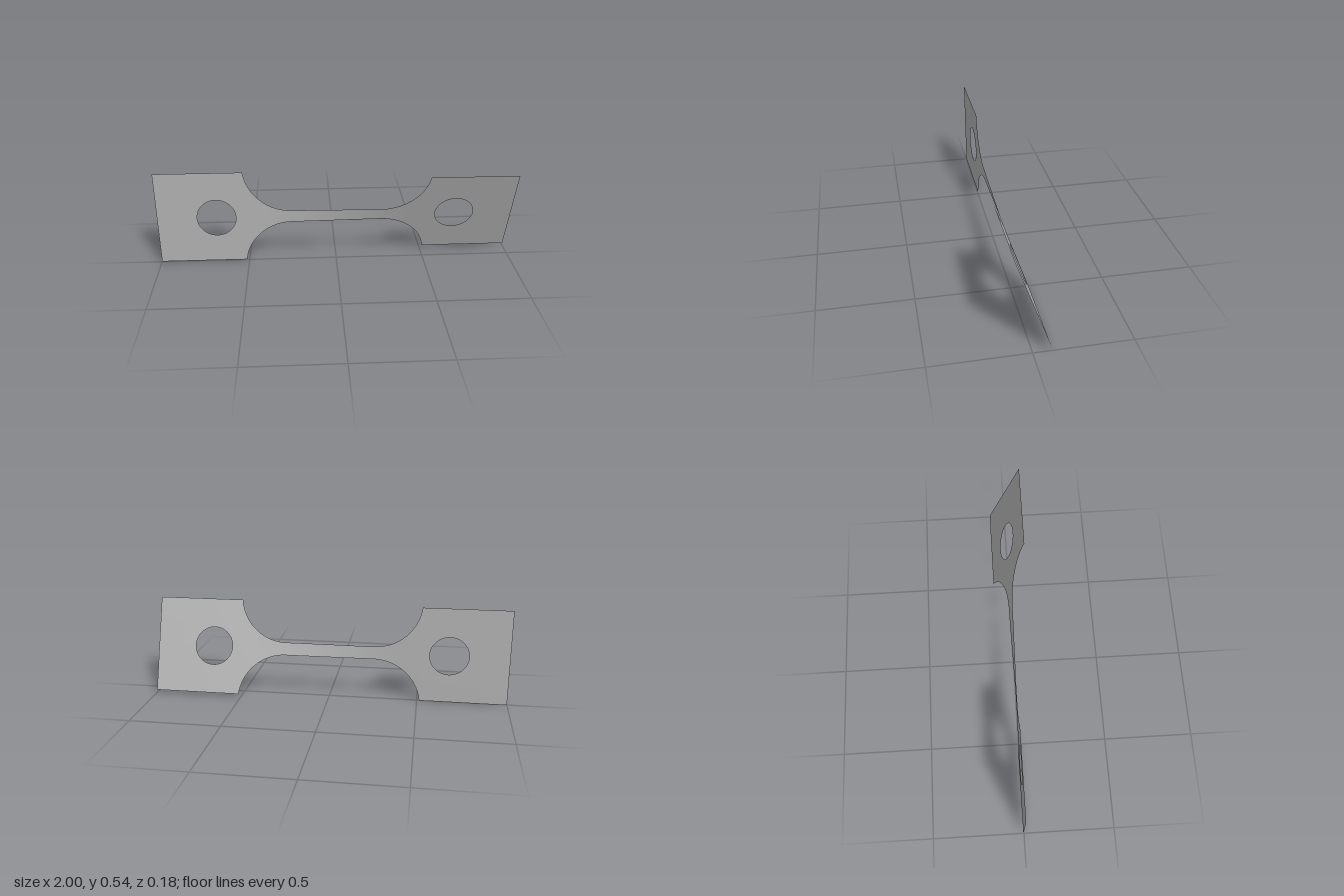
import * as THREE from 'three';
import { mergeVertices } from 'three/addons/utils/BufferGeometryUtils.js';

const HALF_WIDTH = 0.271, GAUGE = 0.036, MID_Y = 0.271;
const FILLET_X = 0.25, FILLET_R = 0.265;
const HOLE_X = 0.67, HOLE_R = 0.108;

// Half height of the outline at distance a from the centre
function outer(a) {
  if (a <= FILLET_X) return GAUGE;
  const d = FILLET_R ** 2 - (a - FILLET_X) ** 2;
  return d <= 0 ? HALF_WIDTH : Math.min(HALF_WIDTH, GAUGE + FILLET_R - Math.sqrt(d));
}

// Half height of the grip hole
const inner = (a) => Math.sqrt(Math.max(0, HOLE_R ** 2 - (a - HOLE_X) ** 2));

// Twist of the cross-section, concentrated in the narrow neck
function twist(x) {
  const t = THREE.MathUtils.clamp((x + 0.42) / 0.84, 0, 1);
  const s = 0.5 * t + 0.5 * t * t * (3 - 2 * t);
  return THREE.MathUtils.degToRad(0.7 + 19.2 * s);
}

// Columns for one half: neck, fillet, then finely spaced around the hole
function columns() {
  const xs = [];
  for (let i = 0; i < 16; i++) xs.push((FILLET_X * i) / 16);
  const end = Math.acos((HALF_WIDTH - GAUGE - FILLET_R) / -FILLET_R);
  for (let i = 0; i <= 32; i++) xs.push(FILLET_X + FILLET_R * Math.sin((end * i) / 32));
  for (let i = 0; i <= 48; i++) xs.push(HOLE_X - HOLE_R * Math.cos((Math.PI * i) / 48));
  xs.push(0.85, 1);
  return xs;
}

// Sheet made of an upper and a lower strip that part around the holes
function sheetGeometry() {
  const half = columns();
  const xs = [...half.slice(1).reverse().map((x) => -x), ...half];
  const ROWS = 6, pos = [], index = [];
  for (const side of [1, -1]) {
    const base = pos.length / 3;
    xs.forEach((x, i) => {
      const a = Math.abs(x), angle = twist(x);
      for (let j = 0; j <= ROWS; j++) {
        const v = side * THREE.MathUtils.lerp(inner(a), outer(a), j / ROWS);
        pos.push(x, MID_Y + v * Math.cos(angle), v * Math.sin(angle));
        if (i === 0 || j === 0) continue;
        const d = base + i * (ROWS + 1) + j, c = d - 1;
        const b = d - ROWS - 1, e = b - 1;
        if (side > 0) index.push(e, c, d, e, d, b);
        else index.push(e, d, c, e, b, d);
      }
    });
  }
  const g = new THREE.BufferGeometry();
  g.setAttribute('position', new THREE.Float32BufferAttribute(pos, 3));
  g.setIndex(index);
  const merged = mergeVertices(g, 1e-5);
  merged.computeVertexNormals();
  return merged;
}

export function createModel() {
  const steel = new THREE.MeshStandardMaterial({ color: 0xb3b3b3, side: THREE.DoubleSide });
  steel.name = 'grey steel';
  const sheet = new THREE.Mesh(sheetGeometry(), steel);
  sheet.name = 'twistedTestStrip';
  const model = new THREE.Group();
  model.name = 'twistedSpecimen';
  model.add(sheet);
  return model;
}
